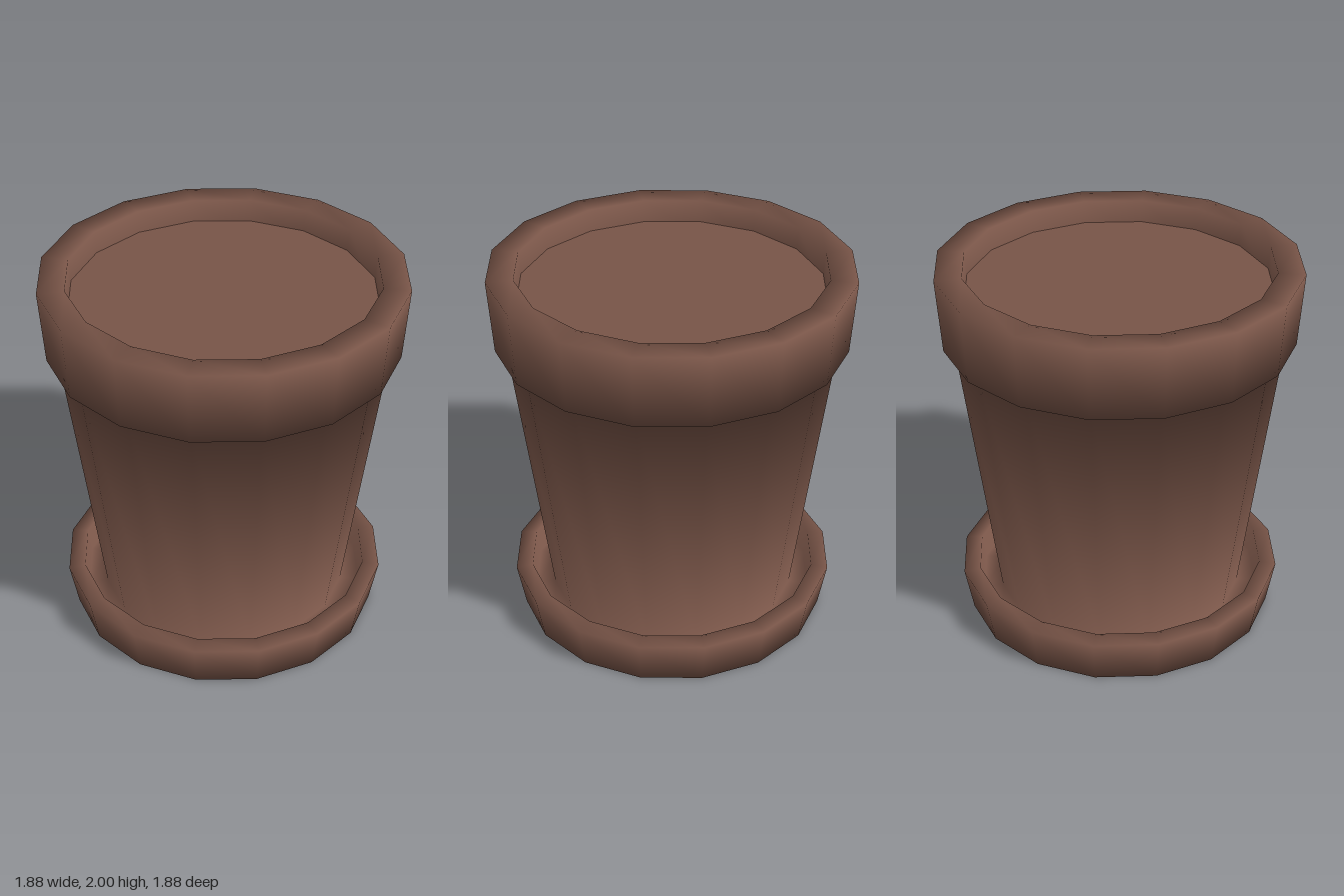
import * as THREE from 'three';

const SIDES = 16;
const clay = new THREE.MeshStandardMaterial({ color: 0x795548 });
clay.name = 'terracotta brown';

// Lathe whose normals blend evenly across every profile edge, for a soft low-poly look
function softLathe(name, profile) {
  const pts = profile.map(([r, y]) => new THREE.Vector2(r, y));
  const geo = new THREE.LatheGeometry(pts, SIDES);
  const edges = pts.slice(1).map((p, i) => {
    const d = p.clone().sub(pts[i]).normalize();
    return new THREE.Vector2(d.y, -d.x);
  });
  const normals = pts.map((_, i) => {
    const n = new THREE.Vector2();
    if (i > 0) n.add(edges[i - 1]);
    if (i < edges.length) n.add(edges[i]);
    return n.normalize();
  });
  const attr = geo.attributes.normal;
  for (let k = 0; k < attr.count; k++) {
    const a = (Math.floor(k / pts.length) / SIDES) * Math.PI * 2;
    const n = normals[k % pts.length];
    attr.setXYZ(k, n.x * Math.sin(a), n.y, n.x * Math.cos(a));
  }
  const mesh = new THREE.Mesh(geo, clay);
  mesh.name = name;
  return mesh;
}

export function createModel() {
  const model = new THREE.Group();
  model.name = 'flowerPot';

  // Saucer: flat base, flared wall, lip and inner floor; then the pot wall and its overhanging rim
  model.add(softLathe('potAndSaucer', [
    [0, 0], [0.825, 0],
    [0.87, 0.24], [0.78, 0.25], [0.76, 0.12],
    [0.66, 0.12], [0.855, 1.61],
    [0.912, 1.61], [0.94, 2], [0.8, 2], [0.785, 1.8],
  ]));

  // Flat soil surface sunk below the rim
  const soil = new THREE.Mesh(new THREE.CircleGeometry(0.793, SIDES), clay);
  soil.name = 'soil';
  soil.rotation.x = -Math.PI / 2;
  soil.position.y = 1.88;
  model.add(soil);

  return model;
}
